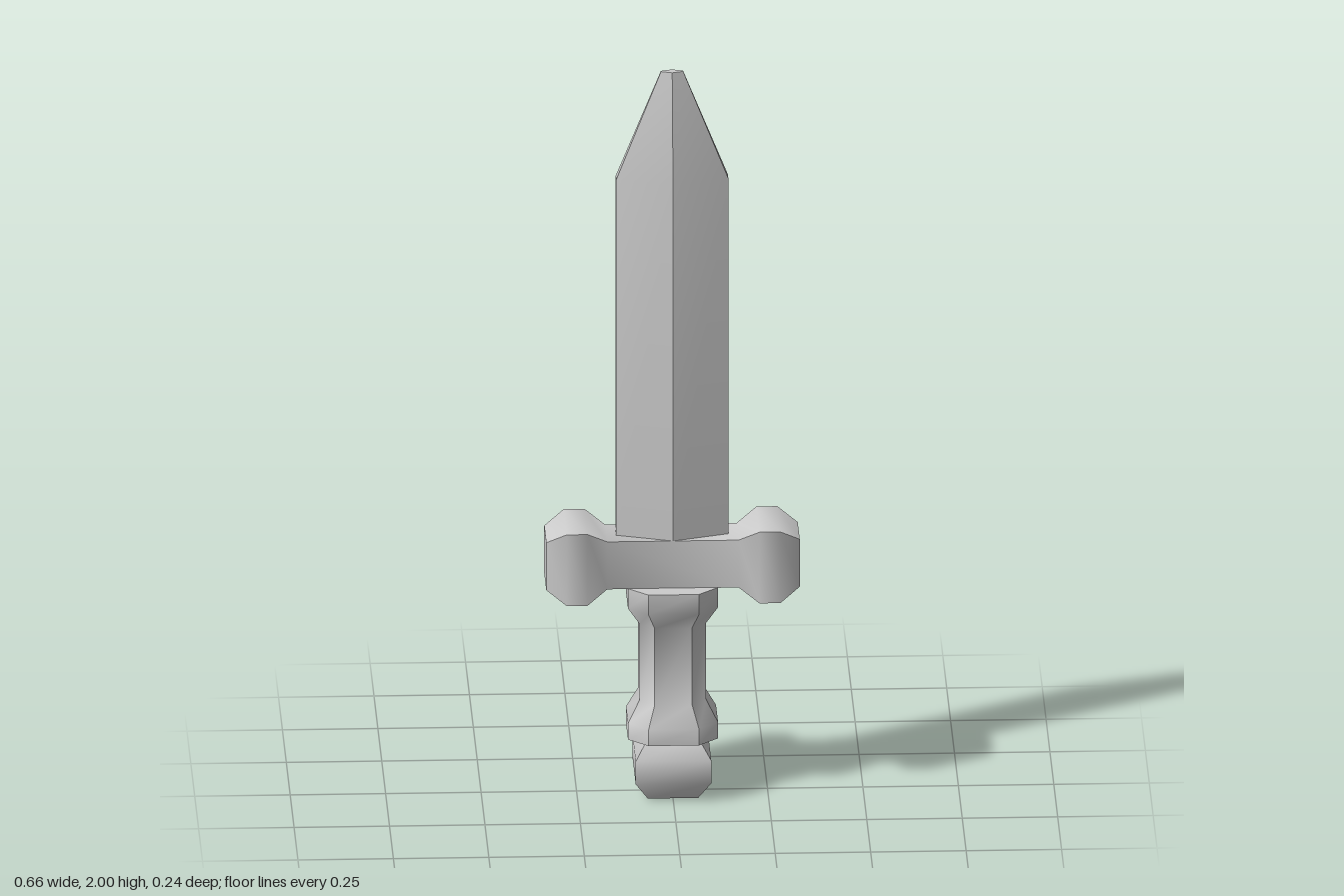
import * as THREE from 'three';
import { toCreasedNormals } from 'three/addons/utils/BufferGeometryUtils.js';

// Skin closed outlines stacked along y. Each section is [y, outline], and an
// outline lists [x, z] corners anticlockwise as seen from +y (z mirrored).
function loft(sections) {
  const n = sections[0][1].length;
  const positions = [];
  const index = [];
  for (const [y, outline] of sections) {
    for (const [u, v] of outline) positions.push(u, y, -v);
  }
  for (let s = 0; s < sections.length - 1; s++) {
    for (let i = 0; i < n; i++) {
      const a = s * n + i;
      const b = s * n + (i + 1) % n;
      index.push(a, b, b + n, a, b + n, a + n);
    }
  }
  // End caps
  const top = (sections.length - 1) * n;
  for (let i = 1; i < n - 1; i++) {
    index.push(0, i + 1, i);
    index.push(top, top + i, top + i + 1);
  }
  const geometry = new THREE.BufferGeometry();
  geometry.setAttribute('position', new THREE.Float32BufferAttribute(positions, 3));
  geometry.setIndex(index);
  return toCreasedNormals(geometry, THREE.MathUtils.degToRad(35));
}

const rectangle = (w, d) => [[w, -d], [w, d], [-w, d], [-w, -d]];

// Square of half-width r with its corners cut off
const octagon = (r) => {
  const c = r * 0.56;
  return [[r, -c], [r, c], [c, r], [-c, r], [-r, c], [-r, -c], [-c, -r], [c, -r]];
};

// Blade section: central ridges front and back, narrow flat edges
const bladeSection = (w, ridge, edge) =>
  [[w, -edge], [w, edge], [0, ridge], [-w, edge], [-w, -edge], [0, -ridge]];

export function createModel() {
  const group = new THREE.Group();
  const material = new THREE.MeshStandardMaterial({ color: 0xcccccc });
  const add = (name, sections) => {
    const mesh = new THREE.Mesh(loft(sections), material);
    mesh.name = name;
    group.add(mesh);
    return mesh;
  };

  add('blade', [
    [0.7, bladeSection(0.147, 0.066, 0.016)],
    [1.705, bladeSection(0.147, 0.066, 0.016)],
    [2, bladeSection(0.029, 0.013, 0.003)],
  ]);

  // Crossguard, lofted along its length and laid on its side
  const end = rectangle(0.066, 0.066);
  const knob = rectangle(0.099, 0.099);
  const guard = add('crossguard', [
    [-0.332, end], [-0.28, knob], [-0.225, knob], [-0.172, end],
    [0.172, end], [0.225, knob], [0.28, knob], [0.332, end],
  ]);
  guard.rotation.z = -Math.PI / 2;
  guard.position.y = 0.65;

  // Grip with a collar at each end
  add('grip', [
    [0.165, octagon(0.118)], [0.21, octagon(0.118)], [0.268, octagon(0.087)],
    [0.48, octagon(0.087)], [0.53, octagon(0.118)], [0.585, octagon(0.118)],
  ]);

  add('pommel', [
    [0, rectangle(0.066, 0.066)], [0.052, rectangle(0.099, 0.099)],
    [0.115, rectangle(0.099, 0.099)], [0.167, rectangle(0.066, 0.066)],
  ]);

  return group;
}
